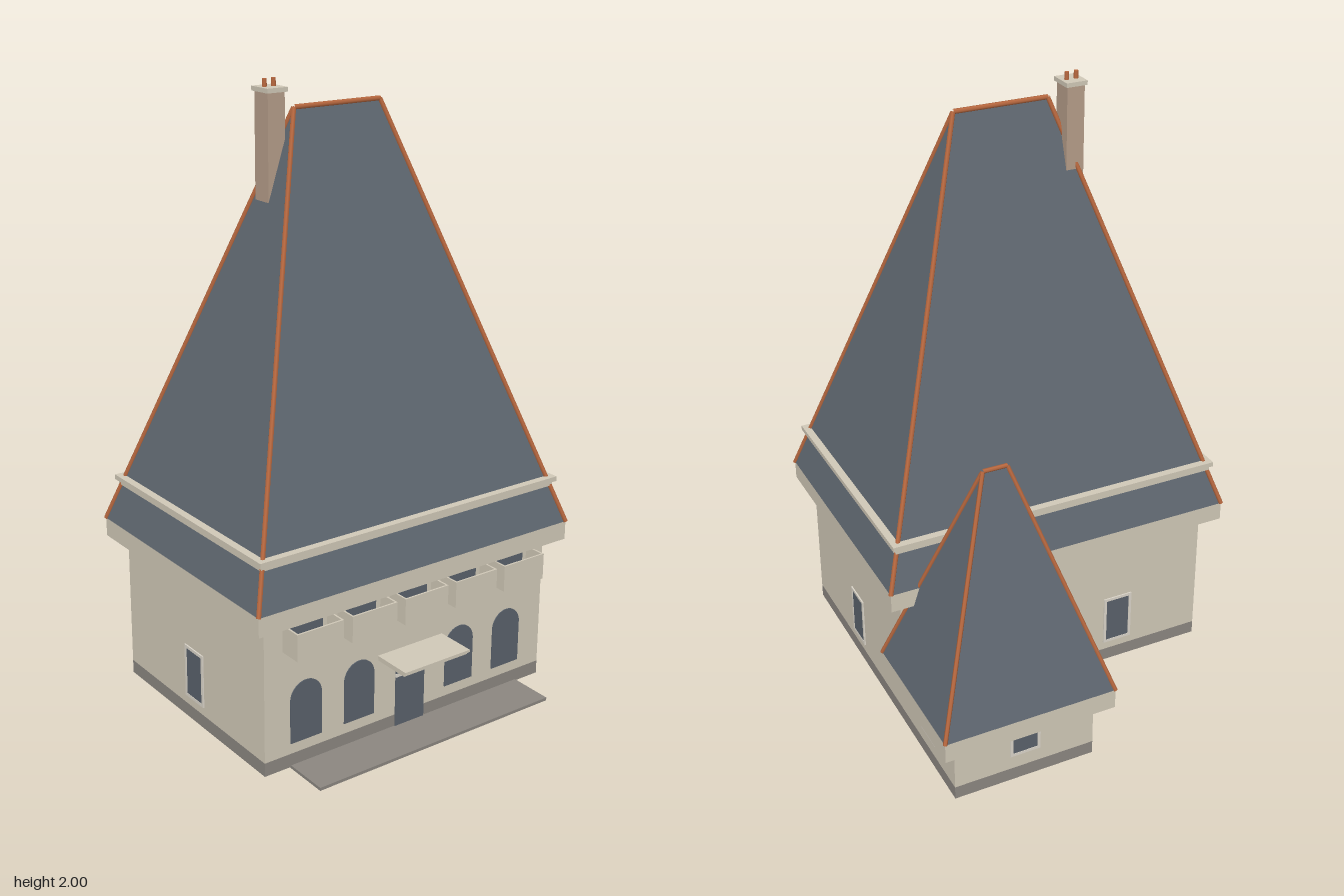
import * as THREE from 'three';

const mat = (name, color, side = THREE.FrontSide) => {
  const m = new THREE.MeshStandardMaterial({ color, side });
  m.name = name;
  return m;
};

export function createModel() {
  const model = new THREE.Group();
  model.name = 'house';
  const plaster = mat('cream plaster', 0xd0c8b7, THREE.DoubleSide);
  const slate = mat('slate', 0x5f6770, THREE.DoubleSide);
  const copper = mat('terracotta ridge', 0xb8683f);
  const stone = mat('grey stone', 0x8b8680, THREE.DoubleSide);
  const glass = mat('dark glass', 0x59616b);
  const trim = mat('pale trim', 0xdad4c8);
  const brick = mat('chimney brick', 0xb59d89);

  const add = (name, geometry, material, parent = model) => {
    const mesh = new THREE.Mesh(geometry, material);
    mesh.name = name;
    parent.add(mesh);
    return mesh;
  };

  // Solid block given by its limits on each axis
  const block = (name, [x0, x1], [y0, y1], [z0, z1], material, parent) => {
    const mesh = add(name, new THREE.BoxGeometry(x1 - x0, y1 - y0, z1 - z0), material, parent);
    mesh.position.set((x0 + x1) / 2, (y0 + y1) / 2, (z0 + z1) / 2);
    return mesh;
  };

  // Four walls without floor or ceiling
  const walls = (name, [x0, x1], [y0, y1], [z0, z1], material) => {
    const g = new THREE.CylinderGeometry(Math.SQRT1_2, Math.SQRT1_2, 1, 4, 1, true)
      .rotateY(Math.PI / 4).scale(x1 - x0, y1 - y0, z1 - z0).toNonIndexed();
    g.computeVertexNormals();
    add(name, g, material).position.set((x0 + x1) / 2, (y0 + y1) / 2, (z0 + z1) / 2);
  };

  // Hipped roof with terracotta tiles on its hips and ridge
  const hipRoof = (name, [x0, x1], [z0, z1], y0, [xa, xb], zr, y1, r) => {
    const group = new THREE.Group();
    group.name = name;
    model.add(group);
    const A = [x0, y0, z1], B = [x1, y0, z1], E = [x1, y0, z0], F = [x0, y0, z0];
    const C = [xb, y1, zr], D = [xa, y1, zr];
    const g = new THREE.BufferGeometry();
    const corners = [A, B, C, A, C, D, B, E, C, E, F, D, E, D, C, F, A, D];
    g.setAttribute('position', new THREE.Float32BufferAttribute(corners.flat(), 3));
    g.computeVertexNormals();
    add(name + 'Slopes', g, slate, group);
    for (const [p, q] of [[A, D], [B, C], [E, C], [F, D], [D, C]]) {
      const line = new THREE.LineCurve3(new THREE.Vector3(...p), new THREE.Vector3(...q));
      add('ridgeTiles', new THREE.TubeGeometry(line, 1, r, 6), copper, group);
    }
  };

  // Rectangular or arched outline, standing on y = 0
  const outline = (w, h, arched, Type = THREE.Shape) => {
    const s = new Type();
    s.moveTo(-w / 2, 0);
    s.lineTo(w / 2, 0);
    if (arched) {
      s.lineTo(w / 2, h - w / 2);
      s.absarc(0, h - w / 2, w / 2, 0, Math.PI, false);
    } else {
      s.lineTo(w / 2, h);
      s.lineTo(-w / 2, h);
    }
    s.closePath();
    return s;
  };
  const plate = (shape, depth) => new THREE.ExtrudeGeometry(shape, { depth, bevelEnabled: false, curveSegments: 10 })
    .translate(0, 0, -depth / 2);

  // Window through a wall: turn is the rotation of the wall it sits in
  const windowAt = (name, x, y, z, turn, w, h, { arched = false, frame = true } = {}) => {
    const group = new THREE.Group();
    group.name = name;
    group.position.set(x, y, z);
    group.rotation.y = turn;
    model.add(group);
    add('pane', plate(outline(w, h, arched), 0.006), glass, group);
    if (frame) {
      const rim = outline(w + 0.02, h + 0.02, arched);
      rim.holes.push(outline(w, h, arched, THREE.Path));
      const border = plate(rim, 0.009);
      if (!arched) border.translate(0, -0.01, 0);
      const b = add('frame', border, trim, group);
      if (!arched) {
        // Shift the hole back onto the pane
        b.geometry = plate(centredRim(w, h), 0.009);
      }
    }
    return group;
  };
  const centredRim = (w, h) => {
    const rim = new THREE.Shape([[-1, -1], [1, -1], [1, 1], [-1, 1]].map(([i, j]) =>
      new THREE.Vector2(i * (w / 2 + 0.01), h / 2 + j * (h / 2 + 0.01))));
    rim.holes.push(outline(w, h, false, THREE.Path));
    return rim;
  };

  // Main house
  const mainX = [-0.55, 0.55], mainZ = [-0.24, 0.55];
  walls('mainPlinth', mainX, [0.005, 0.05], mainZ, stone);
  walls('mainWalls', mainX, [0.05, 0.52], mainZ, plaster);
  block('mainEave', [-0.6, 0.6], [0.5, 0.562], [-0.293, 0.6], plaster);
  hipRoof('mainRoof', [-0.6, 0.6], [-0.293, 0.6], 0.562, [-0.16, 0.16], 0.153, 1.915, 0.008);
  block('roofBandLower', [-0.565, 0.565], [0.685, 0.7], [-0.26, 0.565], plaster);
  block('roofBandUpper', [-0.575, 0.575], [0.7, 0.716], [-0.268, 0.574], plaster);

  // Rear wing
  const wingX = [0.07, 0.55], wingZ = [-0.64, -0.24];
  walls('wingPlinth', wingX, [0.005, 0.05], wingZ, stone);
  walls('wingWalls', wingX, [0.05, 0.23], wingZ, plaster);
  block('wingEave', [0.02, 0.6], [0.208, 0.275], [-0.69, -0.19], plaster);
  hipRoof('wingRoof', [0.02, 0.6], [-0.69, -0.19], 0.275, [0.27, 0.35], -0.44, 1.025, 0.007);

  // Front: arched windows, upper windows and parapets
  for (const x of [-0.4, -0.2, 0.2, 0.4]) {
    windowAt('archedWindow', x, 0.085, 0.55, 0, 0.115, 0.2, { arched: true, frame: false });
  }
  for (const x of [-0.4, -0.2, 0, 0.2, 0.4]) {
    windowAt('upperWindow', x, 0.392, 0.55, 0, 0.12, 0.108, { frame: false });
    const parapet = new THREE.Group();
    parapet.name = 'balconyParapet';
    model.add(parapet);
    block('parapetFront', [x - 0.084, x + 0.084], [0.4, 0.487], [0.62, 0.626], plaster, parapet);
    for (const s of [-1, 1]) {
      const c = x + s * 0.081;
      block('parapetSide', [c - 0.003, c + 0.003], [0.4, 0.487], [0.55, 0.62], plaster, parapet);
    }
  }

  // Entrance
  windowAt('door', 0, 0.01, 0.55, 0, 0.115, 0.225, { frame: false });
  block('transomBar', [-0.058, 0.058], [0.181, 0.193], [0.546, 0.5545], trim);
  block('doorHead', [-0.064, 0.064], [0.233, 0.241], [0.546, 0.5545], trim);
  block('canopy', [-0.125, 0.125], [0.26, 0.274], [0.55, 0.675], plaster);
  block('canopyEdge', [-0.128, 0.128], [0.27, 0.278], [0.55, 0.685], plaster);
  block('terrace', [-0.455, 0.455], [0, 0.01], [0.54, 0.7], stone);

  // Side and rear windows of the main house
  for (const s of [-1, 1]) {
    windowAt('sideWindow', s * 0.55, 0.09, 0.16, s * Math.PI / 2, 0.085, 0.16);
    windowAt('sideUpperWindow', s * 0.55, 0.477, 0.16, s * Math.PI / 2, 0.085, 0.04);
  }
  windowAt('rearWindow', -0.24, 0.09, -0.24, Math.PI, 0.085, 0.16);
  windowAt('rearUpperWindow', -0.24, 0.477, -0.24, Math.PI, 0.085, 0.04);

  // Wing windows
  windowAt('wingWindow', 0.55, 0.11, -0.44, Math.PI / 2, 0.085, 0.095);
  windowAt('wingWindow', 0.07, 0.11, -0.44, -Math.PI / 2, 0.085, 0.095);
  windowAt('wingWindow', 0.31, 0.11, -0.64, Math.PI, 0.085, 0.095);

  // Chimney
  block('chimneyStack', [-0.25, -0.19], [1.6, 1.965], [0.08, 0.15], brick);
  block('chimneyCap', [-0.256, -0.184], [1.962, 1.976], [0.073, 0.157], plaster);
  for (const x of [-0.236, -0.204]) {
    add('chimneyPot', new THREE.CylinderGeometry(0.007, 0.008, 0.03, 10), copper).position.set(x, 1.985, 0.112);
  }

  return model;
}
